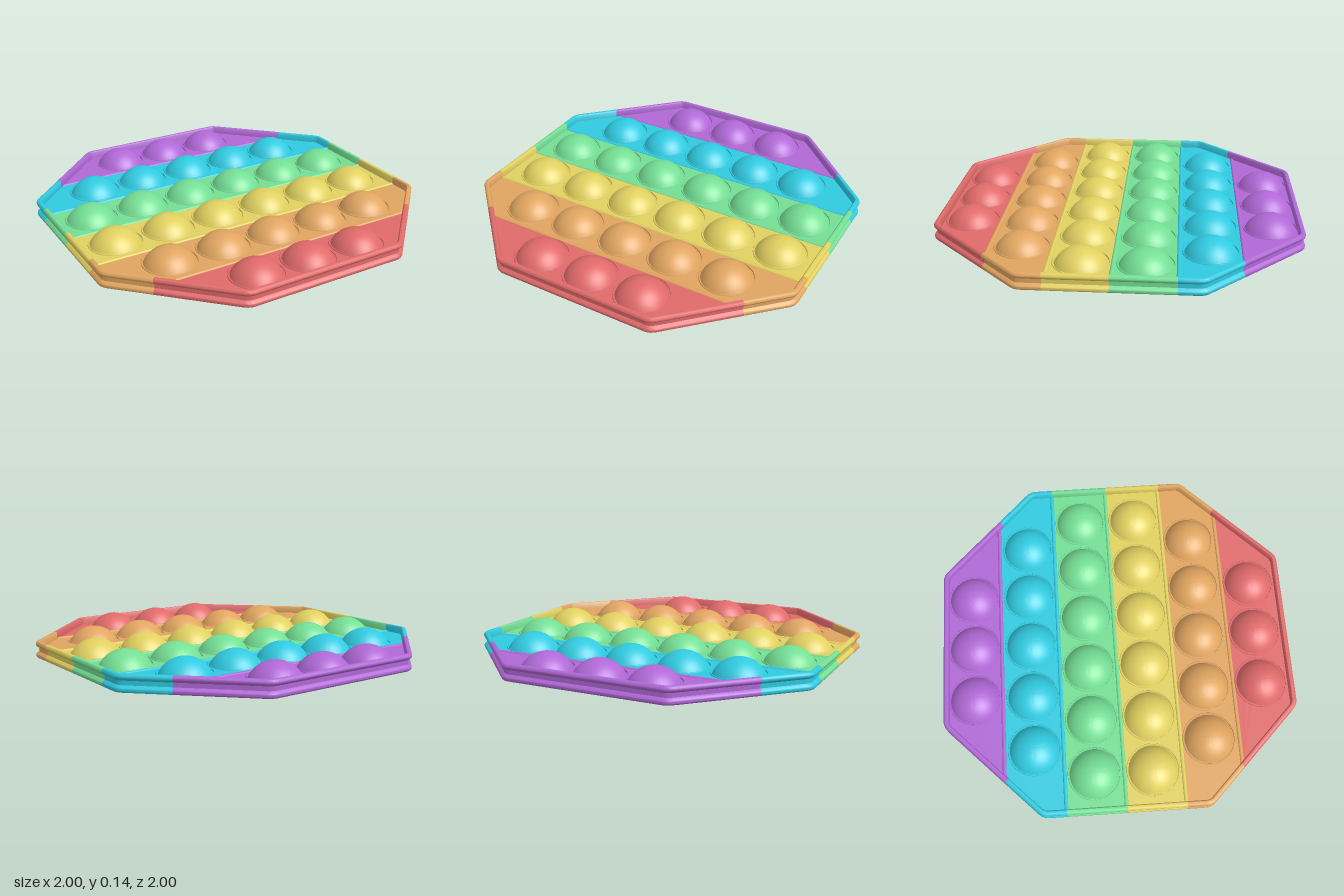
import * as THREE from 'three';
import { toCreasedNormals } from 'three/addons/utils/BufferGeometryUtils.js';

const DIAGONAL = 1.465;            // |x| + |z| on the slanted sides
const CORNER = 0.08;               // corner rounding
const CUTS = [-1.1, -0.662, -0.33, 0, 0.328, 0.66, 1.1];
const BANDS = [
  { name: 'purple', color: 0xb068d6, z: -0.825, count: 3 },
  { name: 'cyan', color: 0x30cae0, z: -0.497, count: 5 },
  { name: 'green', color: 0x74de94, z: -0.17, count: 6 },
  { name: 'yellow', color: 0xe0d060, z: 0.157, count: 6 },
  { name: 'orange', color: 0xe0a560, z: 0.484, count: 5 },
  { name: 'red', color: 0xe06a6a, z: 0.814, count: 3 },
];
const SPACING = 0.311, BUBBLE_R = 0.138, HOLE_R = 0.144;
const PANEL_TOP = 0.052, PANEL_THICK = 0.01;

// Half width of the octagon at depth z, inset by d
const halfWidth = (z, d) => Math.min(1 - d, DIAGONAL - d * Math.SQRT2 - Math.abs(z));

// Rounded octagon outline with outward normals, split where the colours change
function outline() {
  const pts = [];
  const dist = i => (i % 2 ? DIAGONAL / Math.SQRT2 : 1) - CORNER;
  for (let i = 0; i < 8; i++) {
    const a = i * Math.PI / 4, b = a + Math.PI / 4, s = Math.sin(b - a);
    const d1 = dist(i), d2 = dist(i + 1);
    const cx = (d1 * Math.sin(b) - d2 * Math.sin(a)) / s;
    const cz = (d2 * Math.cos(a) - d1 * Math.cos(b)) / s;
    for (let k = 0; k <= 5; k++) {
      const t = a + (b - a) * k / 5, nx = Math.cos(t), nz = Math.sin(t);
      pts.push({ x: cx + CORNER * nx, z: cz + CORNER * nz, nx, nz });
    }
  }
  const out = [];
  pts.forEach((p, i) => {
    const q = pts[(i + 1) % pts.length];
    out.push(p);
    CUTS.map(c => (c - p.z) / (q.z - p.z))
      .filter(t => t > 1e-4 && t < 1 - 1e-4)
      .sort((m, n) => m - n)
      .forEach(t => {
        const mix = {};
        for (const key of ['x', 'z', 'nx', 'nz']) mix[key] = p[key] + (q[key] - p[key]) * t;
        out.push(mix);
      });
  });
  return out;
}

// Rim cross-section as [inset, y]: two beads with a groove between them outside
function rimProfile() {
  const pts = [];
  const arc = (cx, cy, r, from, to, n) => {
    for (let i = 0; i <= n; i++) {
      const t = THREE.MathUtils.degToRad(from + (to - from) * i / n);
      pts.push([cx - r * Math.cos(t), cy + r * Math.sin(t)]);
    }
  };
  arc(0.016, 0.016, 0.016, -90, 60, 6);
  pts.push([0.018, 0.036], [0.018, 0.059]);
  arc(0.016, 0.079, 0.016, -60, 90, 6);
  pts.push([0.025, 0.094], [0.031, 0.087], [0.031, 0.008], [0.025, 0.001]);
  return pts;
}

// Part of the rim whose depth lies between two cuts
function rimGeometry(path, profile, z0, z1) {
  const pos = [];
  const at = (p, [d, y]) => [p.x - p.nx * d, y, p.z - p.nz * d];
  path.forEach((p, i) => {
    const q = path[(i + 1) % path.length], mid = (p.z + q.z) / 2;
    if (mid < z0 || mid >= z1) return;
    profile.forEach((s, j) => {
      const t = profile[(j + 1) % profile.length];
      const a = at(p, s), b = at(p, t), c = at(q, t), d = at(q, s);
      pos.push(...a, ...b, ...c, ...a, ...c, ...d);
    });
  });
  const g = new THREE.BufferGeometry();
  g.setAttribute('position', new THREE.Float32BufferAttribute(pos, 3));
  return toCreasedNormals(g, 0.75);
}

// Thin sheet for one band, with a hole for each bubble
function panelGeometry(z0, z1, band, xs) {
  const inset = 0.022, end = 1 - inset;
  const lo = Math.max(z0, -end), hi = Math.min(z1, end);
  const kink = DIAGONAL - inset * Math.SQRT2 - end;
  const zs = [lo, ...[-kink, kink].filter(z => z > lo && z < hi), hi];
  const right = zs.map(z => new THREE.Vector2(halfWidth(z, inset), z));
  const left = right.map(v => new THREE.Vector2(-v.x, v.y)).reverse();
  const shape = new THREE.Shape([...right, ...left]);
  for (const x of xs) {
    shape.holes.push(new THREE.Path().absarc(x, band.z, HOLE_R, 0, Math.PI * 2, true));
  }
  const g = new THREE.ExtrudeGeometry(shape, {
    depth: PANEL_THICK, bevelEnabled: false, curveSegments: 32,
  });
  return g.rotateX(Math.PI / 2).translate(0, PANEL_TOP, 0);
}

// Hollow spherical cap with a small raised lip at its foot
function bubbleGeometry() {
  const cap = (a, base, top, n) => {
    const h = top - base, R = (a * a + h * h) / (2 * h), max = Math.asin(a / R);
    return Array.from({ length: n + 1 }, (_, i) => {
      const t = max * i / n;
      return new THREE.Vector2(i ? R * Math.sin(t) : 0, top - R + R * Math.cos(t));
    });
  };
  const lip = [[0.13, 0.038], [0.147, 0.038], [0.149, 0.041], [0.149, 0.054],
    [0.147, 0.057], [0.143, 0.057], [0.141, 0.05]].map(p => new THREE.Vector2(...p));
  const inner = cap(0.13, 0.042, 0.128, 12);
  const outer = cap(BUBBLE_R, 0.05, 0.136, 14).reverse();
  return toCreasedNormals(new THREE.LatheGeometry([...inner, ...lip, ...outer], 40), 0.7);
}

export function createModel() {
  const model = new THREE.Group();
  model.name = 'bubblePopper';
  const path = outline(), profile = rimProfile(), bubble = bubbleGeometry();

  BANDS.forEach((band, i) => {
    const [z0, z1] = [CUTS[i], CUTS[i + 1]];
    const material = new THREE.MeshStandardMaterial({ color: band.color });
    material.name = band.name;
    const group = new THREE.Group();
    group.name = `${band.name}Band`;
    model.add(group);
    const add = (name, geometry) => {
      const mesh = new THREE.Mesh(geometry, material);
      mesh.name = name;
      group.add(mesh);
      return mesh;
    };

    const xs = Array.from({ length: band.count }, (_, k) => (k - (band.count - 1) / 2) * SPACING);
    add('rim', rimGeometry(path, profile, z0, z1));
    add('panel', panelGeometry(z0, z1, band, xs));
    for (const x of xs) add('bubble', bubble).position.set(x, 0, band.z);

    // Rounded ridge on the seam with the next band
    if (i < BANDS.length - 1) {
      const z = z1 - 0.004;
      const ridge = new THREE.CylinderGeometry(0.012, 0.012, 2 * halfWidth(z, 0.025), 16);
      add('ridge', ridge.rotateZ(Math.PI / 2)).position.set(0, PANEL_TOP - PANEL_THICK / 2, z);
    }
  });
  return model;
}
